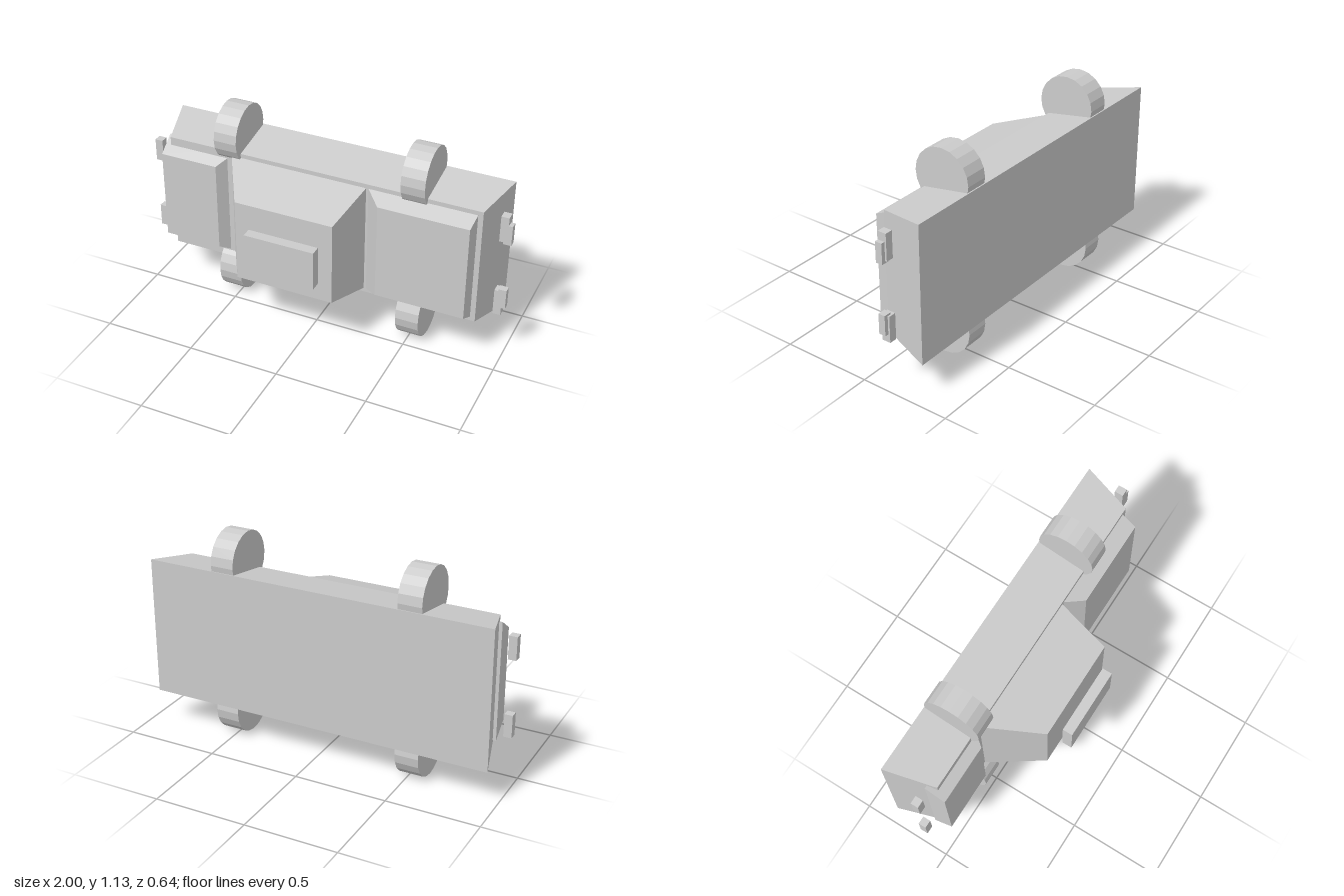
import * as THREE from 'three';

const material = new THREE.MeshStandardMaterial({ color: 0xcccccc, flatShading: true });
const MID_Y = 0.567; // mirror line between the two long sides

function add(parent, name, geometry) {
  const mesh = new THREE.Mesh(geometry, material);
  mesh.name = name;
  parent.add(mesh);
  return mesh;
}

// Box given by its [min, max] range on each axis
function block(parent, name, [x0, x1], [y0, y1], [z0, z1]) {
  const mesh = add(parent, name, new THREE.BoxGeometry(x1 - x0, y1 - y0, z1 - z0));
  mesh.position.set((x0 + x1) / 2, (y0 + y1) / 2, (z0 + z1) / 2);
  return mesh;
}

// Tapered block: rectangles [x0, x1, y0, y1, z] at the base and at the top
function taper(parent, name, base, top) {
  const geometry = new THREE.BoxGeometry(1, 1, 1);
  const p = geometry.attributes.position;
  for (let i = 0; i < p.count; i++) {
    const r = p.getZ(i) > 0 ? top : base;
    p.setXYZ(i, p.getX(i) < 0 ? r[0] : r[1], p.getY(i) < 0 ? r[2] : r[3], r[4]);
  }
  geometry.computeVertexNormals();
  return add(parent, name, geometry);
}

export function createModel() {
  const car = new THREE.Group();
  car.name = 'car';

  // Bodywork, with the roof facing +z and the bonnet towards +x
  taper(car, 'body', [-0.955, 0.94, 0.19, 0.945, -0.32], [-0.88, 0.865, 0.235, 0.9, -0.053]);
  taper(car, 'cabin', [-0.515, 0.247, 0.258, 0.876, -0.053], [-0.35, 0.19, 0.335, 0.798, 0.233]);
  taper(car, 'bonnet', [0.26, 0.838, 0.258, 0.876, -0.053], [0.343, 0.828, 0.298, 0.836, 0.03]);
  taper(car, 'boot', [-0.912, -0.5, 0.246, 0.888, -0.105], [-0.907, -0.585, 0.315, 0.818, 0]);

  // Panel floating above the roof
  block(car, 'roofPanel', [-0.257, 0.128], [0.459, 0.677], [0.265, 0.32]);

  // Wheels
  for (const [end, x] of [['rear', -0.525], ['front', 0.512]]) {
    for (const [side, y] of [['Lower', 0.159], ['Upper', 0.975]]) {
      const geometry = new THREE.CylinderGeometry(0.157, 0.157, 0.128, 20).rotateZ(Math.PI / 2);
      add(car, `${end}Wheel${side}`, geometry).position.set(x, y, -0.16);
    }
  }

  // Lamps, mirrored about the middle line
  for (const side of [-1, 1]) {
    const range = (a, b) => [MID_Y + side * a, MID_Y + side * b].sort((m, n) => m - n);
    block(car, 'tailLamp', [-1, -0.957], range(0.147, 0.271), [-0.132, -0.09]);
    block(car, 'headLamp', [0.937, 0.979], range(0.149, 0.295), [-0.16, -0.112]);
    block(car, 'headLampLens', [0.957, 1], range(0.138, 0.25), [-0.15, -0.112]);
  }
  return car;
}
